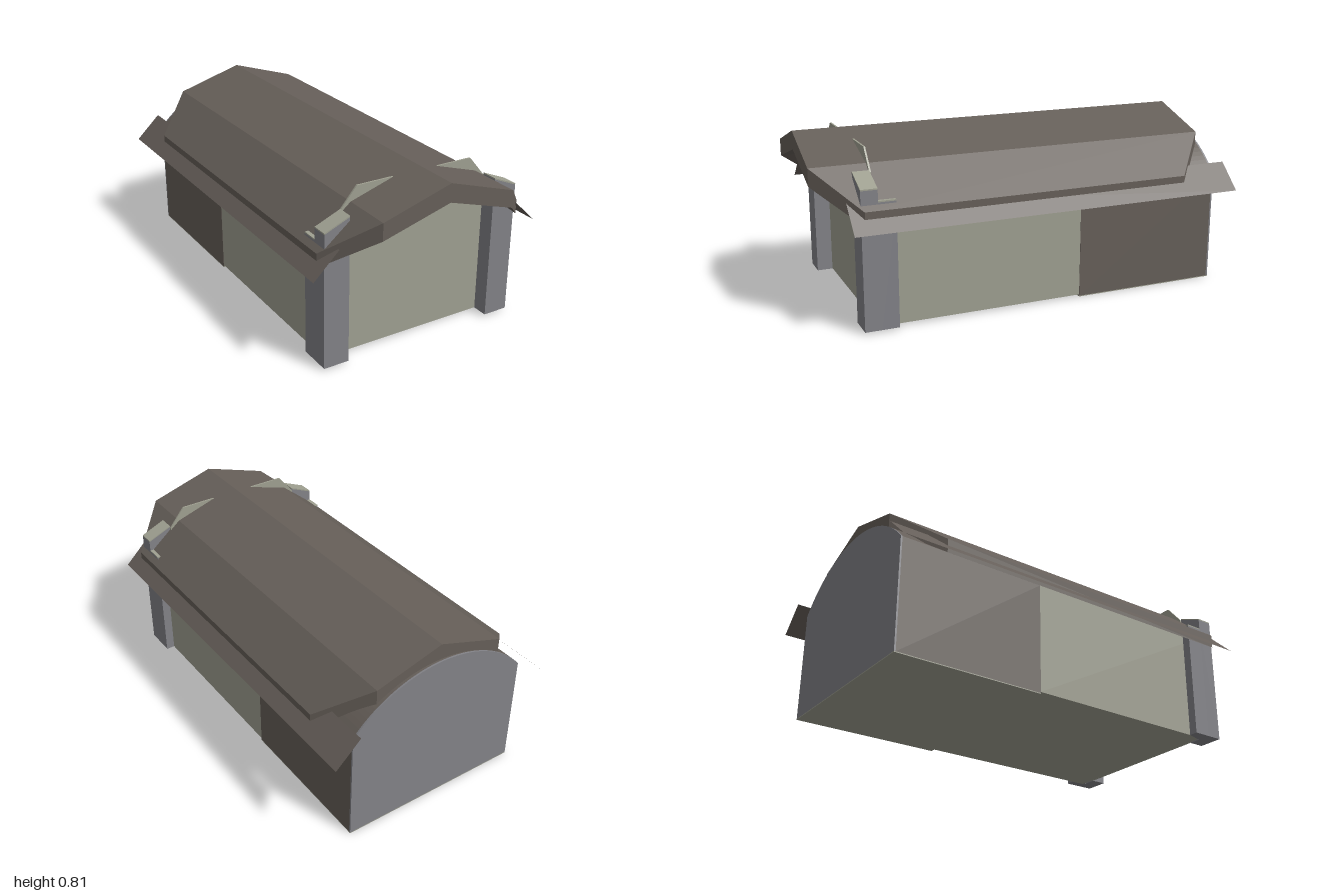
import * as THREE from 'three';

const mat = (name, color) => {
  const m = new THREE.MeshStandardMaterial({ color });
  m.name = name;
  return m;
};

const mesh = (name, geometry, material) => {
  const m = new THREE.Mesh(geometry, material);
  m.name = name;
  return m;
};

// Extrudes an outline in x and y from z0 to z1
function slab(shape, z0, z1) {
  const g = new THREE.ExtrudeGeometry(shape, { depth: z1 - z0, bevelEnabled: false, curveSegments: 20 });
  return g.translate(0, 0, z0);
}

const polygon = (points) => new THREE.Shape(points.map(([x, y]) => new THREE.Vector2(x, y)));

// Cross-section of the hall: upright walls under a shallow arch
function archShape(halfWidth, base) {
  const radius = 0.597, centreY = 0.138;
  const angle = Math.acos(halfWidth / radius);
  const s = new THREE.Shape();
  s.moveTo(-halfWidth, base);
  s.lineTo(halfWidth, base);
  s.lineTo(halfWidth, centreY + radius * Math.sin(angle));
  s.absarc(0, centreY, radius, angle, Math.PI - angle, false);
  s.closePath();
  return s;
}

// Roof shell lofted across x; each station is [x, top, bottom, front z, back z]
function roofGeometry() {
  const stations = [
    [-0.515, 0.55, 0.485, 0.80, -0.76],
    [-0.32, 0.71, 0.63, 0.98, -0.94],
    [0, 0.81, 0.725, 0.987, -0.932],
    [0.32, 0.71, 0.63, 0.995, -0.925],
    [0.515, 0.55, 0.485, 0.81, -0.74],
  ];
  const pos = [], idx = [];
  for (const [x, top, bottom, front, back] of stations) {
    pos.push(x, top, front, x, bottom, front, x, bottom, back, x, top, back);
  }
  for (let i = 0; i < stations.length - 1; i++) {
    for (let k = 0; k < 4; k++) {
      const a = i * 4 + k, b = i * 4 + (k + 1) % 4;
      idx.push(a, b, b + 4, a, b + 4, a + 4);
    }
  }
  const e = (stations.length - 1) * 4;
  idx.push(3, 2, 1, 3, 1, 0, e, e + 1, e + 2, e, e + 2, e + 3);
  const g = new THREE.BufferGeometry();
  g.setAttribute('position', new THREE.Float32BufferAttribute(pos, 3));
  g.setIndex(idx);
  const flat = g.toNonIndexed();
  flat.computeVertexNormals();
  return flat;
}

// Sloping strip below the eave, a plane tilted by rule
function skirtGeometry() {
  const g = new THREE.PlaneGeometry(0.12, 1.87);
  const p = g.attributes.position;
  for (let i = 0; i < p.count; i++) {
    const x = p.getX(i), y = p.getY(i);
    p.setXYZ(i, 0.51 + x, 0.5225 - x * 0.96, -0.065 - y);
  }
  g.computeVertexNormals();
  return g;
}

export function createModel() {
  const pale = mat('pale plaster', 0x9fa091);
  const grey = mat('grey stone', 0x828287);
  const brown = mat('brown roofing', 0x665f59);
  brown.side = THREE.DoubleSide;

  const model = new THREE.Group();
  model.name = 'hall';

  // Walls: pale front part, brown rear part with grey end
  model.add(
    mesh('frontHall', slab(archShape(0.448, 0.01), -0.23, 0.735), pale),
    mesh('rearHall', slab(archShape(0.45, 0.004), -0.94, -0.23), brown),
    mesh('backWall', slab(archShape(0.45, 0.004), -0.948, -0.94), grey),
  );
  const base = mesh('rearFloor', new THREE.BoxGeometry(0.9, 0.004, 0.718), pale);
  base.position.set(0, 0.002, -0.589);
  model.add(base);

  // Front wall whose shoulders rise through the roof
  const wall = polygon([[-0.37, 0.01], [0.37, 0.01], [0.37, 0.68], [0.29, 0.775], [-0.29, 0.775], [-0.37, 0.68]]);
  model.add(mesh('frontWall', slab(wall, 0.736, 0.744), pale));

  model.add(mesh('roof', roofGeometry(), brown));

  // Corner pillars and eave skirts on both sides
  const pillar = polygon([[0.37, 0.01], [0.49, 0.01], [0.49, 0.634], [0.37, 0.684]]);
  const cap = polygon([[0.37, 0.684], [0.49, 0.634], [0.49, 0.64], [0.37, 0.69]]);
  const strip = polygon([[0.43, 0.01], [0.49, 0.01], [0.49, 0.579], [0.43, 0.579]]);
  const stripCap = polygon([[0.47, 0.579], [0.49, 0.579], [0.49, 0.585], [0.47, 0.585]]);
  for (const [side, sign] of [['left', 1], ['right', -1]]) {
    const group = new THREE.Group();
    group.name = side + 'Side';
    group.scale.x = sign;
    group.add(
      mesh('cornerPillar', slab(pillar, 0.745, 0.82), grey),
      mesh('pillarCap', slab(cap, 0.745, 0.82), pale),
      mesh('pillarReturn', slab(strip, 0.665, 0.745), grey),
      mesh('returnCap', slab(stripCap, 0.665, 0.745), pale),
      mesh('eaveSkirt', skirtGeometry(), brown),
    );
    model.add(group);
  }
  return model;
}
